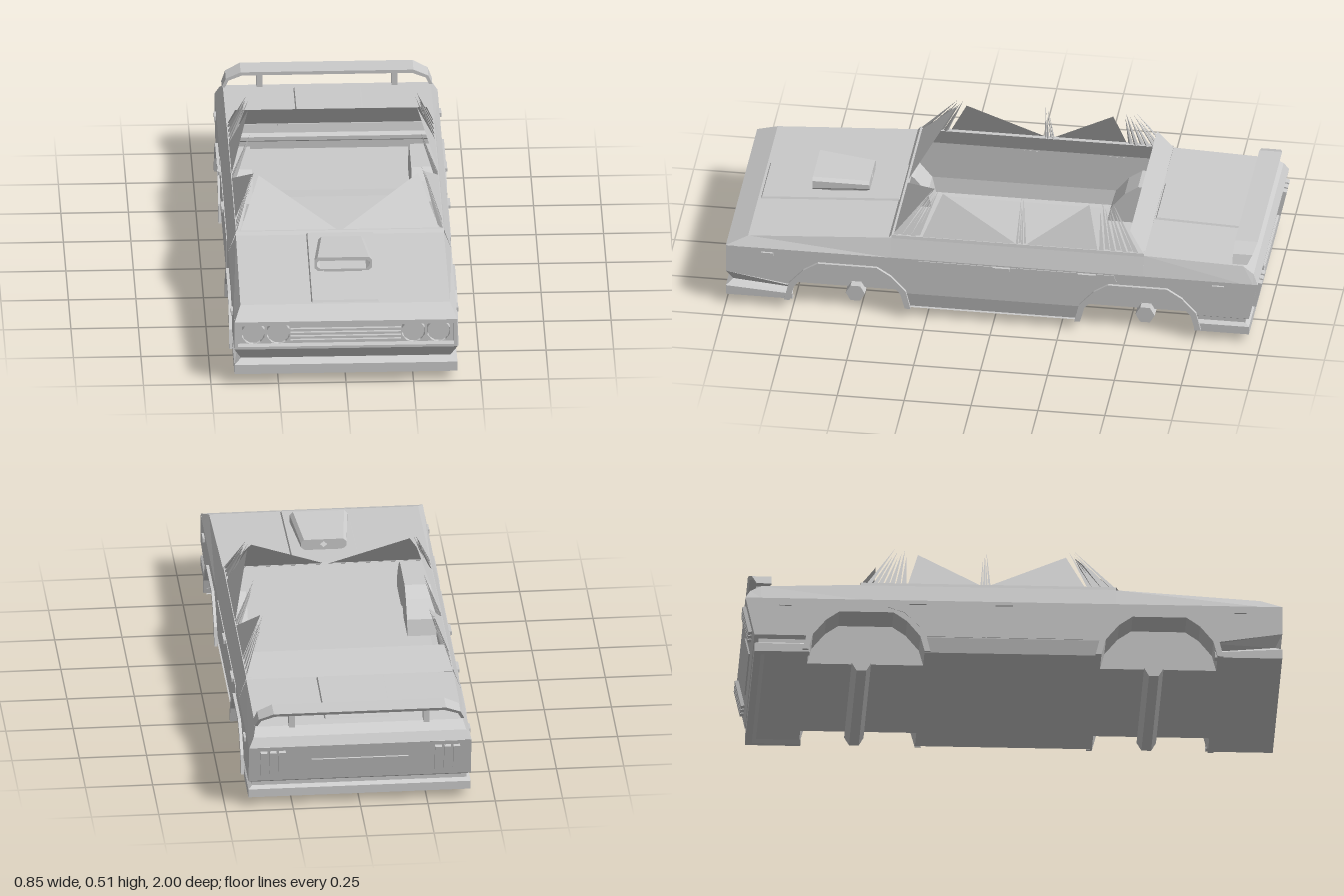
import * as THREE from 'three';
import { mergeGeometries } from 'three/addons/utils/BufferGeometryUtils.js';

const mat = new THREE.MeshStandardMaterial({ color: 0xcccccc, flatShading: true, side: THREE.DoubleSide });

export function createModel() {
  const car = new THREE.Group();

  const add = (name, geo, parent = car) => {
    const m = new THREE.Mesh(geo, mat);
    m.name = name;
    parent.add(m);
    return m;
  };
  const box = (name, x, y, z, w, h, d) => {
    const m = add(name, new THREE.BoxGeometry(w, h, d));
    m.position.set(x, y, z);
    return m;
  };
  // Sheet through rows of [x, y, z] points
  const loft = (rows, closed = false) => {
    const pos = [];
    for (let i = 0; i < rows.length - 1; i++) {
      const n = rows[i].length;
      for (let j = 0; j < (closed ? n : n - 1); j++) {
        const k = (j + 1) % n;
        const [a, b, c, d] = [rows[i][j], rows[i][k], rows[i + 1][k], rows[i + 1][j]];
        pos.push(...a, ...b, ...c, ...a, ...c, ...d);
      }
    }
    return triangles(pos);
  };
  const triangles = (pos) => {
    const g = new THREE.BufferGeometry();
    g.setAttribute('position', new THREE.Float32BufferAttribute(pos, 3));
    g.computeVertexNormals();
    return g;
  };
  const shapeOf = (pts) => new THREE.Shape(pts.map((p) => new THREE.Vector2(...p)));
  const extrude = (shape, depth) => new THREE.ExtrudeGeometry(shape, { depth, bevelEnabled: false });
  // Side outline of [z, y] points placed at x, optionally thickened outwards
  const sidePanel = (pts, x, thick = 0) => {
    const g = thick ? extrude(shapeOf(pts), thick) : new THREE.ShapeGeometry(shapeOf(pts));
    const p = g.attributes.position;
    for (let i = 0; i < p.count; i++) p.setXYZ(i, x + Math.sign(x) * p.getZ(i), p.getY(i), p.getX(i));
    g.computeVertexNormals();
    return g;
  };

  const W = 0.413, wells = [0.545, -0.54];
  const arch = [[0.215, 0.045], [0.199, 0.105], [0.15, 0.165], [0.1, 0.2], [-0.1, 0.2], [-0.15, 0.165], [-0.199, 0.105], [-0.215, 0.045]];
  const archAt = (c, grow = 0) => arch.map(([z, y]) => [c + z * (1 + grow), y > 0.05 ? y + grow * 0.12 : y]);

  // Hood and trunk, each with sloping shoulders: [z, half width, height]
  const deck = (stations) => loft(stations.map(([z, x, y]) => [[-W, 0.255, z], [-x, y, z], [x, y, z], [W, 0.255, z]].map(
    (p) => [p[0], p[1], p[2]])));
  add('hood', deck([[1, 0.412, 0.256], [0.92, 0.388, 0.29], [0.385, 0.385, 0.325]]));
  add('trunk', deck([[-0.56, 0.385, 0.328], [-0.93, 0.385, 0.315], [-0.97, 0.395, 0.29], [-0.988, 0.412, 0.256]]));
  add('cowl', loft([[[-0.385, 0.325, 0.395], [0.385, 0.325, 0.395]], [[-0.385, 0.337, 0.385], [0.385, 0.337, 0.385]], [[-0.37, 0.337, 0.37], [0.37, 0.337, 0.37]]]));

  // Raised centre panels
  const lid = (name, z0, y0, z1, y1) => add(name, loft([[0.125, 0], [0.121, 0.007], [-0.121, 0.007], [-0.125, 0]].map(
    ([x, h]) => [[x, y0, z0], [x, y0 + h, z0 - 0.004], [x, y1 + h, z1 + 0.004], [x, y1, z1]])));
  lid('hoodPanel', 0.91, 0.291, 0.39, 0.325);
  lid('trunkPanel', -0.565, 0.328, -0.89, 0.316);

  // Sides, doors, wheel wells
  for (const s of [1, -1]) {
    const side = new THREE.Group();
    side.name = s > 0 ? 'leftSide' : 'rightSide';
    car.add(side);
    add('sideWall', sidePanel([[1, 0.145], [1, 0.255], [-0.988, 0.255], [-0.955, 0.105],
      ...archAt(wells[1]).slice(1, 7).reverse(), ...archAt(wells[0]).slice(1, 7).reverse()], s * W), side);
    add('shoulder', loft([0.385, -0.56].map((z) => [[s * W, 0.255, z], [s * 0.388, 0.325, z], [s * 0.385, 0.337, z], [s * 0.365, 0.337, z]])), side);
    add('sill', loft([[0.346, 0.33], [-0.341, -0.325]].map(([a, b]) => [[s * W, 0.105, a], [s * 0.402, 0.047, b], [s * 0.38, 0.045, b]])), side);
    add('frontDoor', sidePanel([[0.28, 0.25], [0.265, 0.108], [-0.093, 0.108], [-0.093, 0.25]], s * W, 0.003), side);
    add('rearDoor', sidePanel([[-0.099, 0.25], [-0.099, 0.108], [-0.325, 0.108], [-0.345, 0.15], [-0.4, 0.205], [-0.46, 0.225], [-0.45, 0.25]], s * W, 0.003), side);
    for (const c of wells) {
      const a = archAt(c);
      add('wheelWell', loft([0.424, 0.295].map((x) => a.map(([z, y]) => [s * x, y, z]))), side);
      add('wheelWellInner', sidePanel(a, s * 0.295), side);
      add('archFlare', sidePanel([...a, ...archAt(c, 0.1).reverse()], s * W, 0.011), side);
    }
    for (const z of [-0.03, -0.35]) box('doorHandle', s * 0.418, 0.243, z, 0.012, 0.014, 0.065);
    for (const z of [0.845, -0.84]) box('sideMarker', s * 0.415, 0.232, z, 0.012, 0.016, 0.045);
  }

  // Floor with notches for the wheel wells
  const half = [[0.41, 0.98], ...wells.flatMap((c) => [[0.41, c + 0.215], [0.295, c + 0.215], [0.295, c - 0.215], [0.41, c - 0.215]]), [0.41, -0.945]];
  const floor = new THREE.ShapeGeometry(shapeOf([...half, ...half.map(([x, z]) => [-x, z]).reverse()]));
  floor.rotateX(Math.PI / 2).translate(0, 0.045, 0);
  add('floor', floor);

  // Bumpers wrap round the ends with a recessed band: rows of [inset, end y, arch y]
  const bumper = (name, end, archZ, rows) => add(name, loft(rows.map(([inset, ye, ya, shift = 0]) => {
    const x = W - inset, z = end - Math.sign(end) * (inset + shift);
    return [[-x, ya, archZ], [-x, ye, z], [x, ye, z], [x, ya, archZ]];
  })));
  bumper('frontBumper', 1, 0.75, [[0, 0.145, 0.1], [0.025, 0.1, 0.08], [0, 0.082, 0.066], [0, 0.045, 0.045], [0.03, 0.042, 0.045]]);
  bumper('rearBumper', -0.955, -0.75, [[0, 0.105, 0.105], [0.015, 0.095, 0.095], [0.015, 0.08, 0.08], [0, 0.07, 0.07], [0, 0.038, 0.038], [0.025, 0.035, 0.035], [0.04, 0.045, 0.045]]);

  // Front face with a recessed grille and paired lamps
  const frame = shapeOf([[-W, 0.145], [W, 0.145], [W, 0.256], [-W, 0.256]]);
  frame.holes.push(new THREE.Path([[-0.4, 0.155], [-0.4, 0.24], [0.4, 0.24], [0.4, 0.155]].map((p) => new THREE.Vector2(...p))));
  add('grilleFrame', extrude(frame, 0.03)).position.z = 0.97;
  box('grilleBack', 0, 0.197, 0.965, 0.81, 0.1, 0.01);
  for (let i = 0; i < 5; i++) box('grilleSlat', 0, 0.168 + i * 0.015, 0.975, 0.41, 0.007, 0.014);
  for (const x of [-0.343, -0.25, 0.25, 0.343]) {
    const ring = add('headlampRing', new THREE.CylinderGeometry(0.044, 0.044, 0.025, 10, 1, true));
    ring.rotation.x = Math.PI / 2;
    ring.position.set(x, 0.207, 0.982);
    const lens = add('headlampLens', new THREE.CircleGeometry(0.042, 10));
    lens.position.set(x, 0.207, 0.986);
  }

  // Rear face, plate and tail lamps share one slope
  const tilt = -Math.atan(0.033 / 0.15);
  add('rearPanel', loft([[[-W, 0.255, -0.988], [W, 0.255, -0.988]], [[-W, 0.105, -0.955], [W, 0.105, -0.955]]]));
  box('plate', 0, 0.165, -0.968, 0.36, 0.065, 0.012).rotation.x = tilt;
  for (const s of [1, -1]) for (let i = 0; i < 3; i++) box('tailLamp', s * (0.29 + i * 0.034), 0.187, -0.975, 0.025, 0.105, 0.024).rotation.x = tilt;

  // Hood scoop with a hollow mouth
  const ring = (x, y0, y1, z) => {
    const c = 0.012;
    return [[x - c, y0], [x, y0 + c], [x, y1 - c], [x - c, y1], [c - x, y1], [-x, y1 - c], [-x, y0 + c], [c - x, y0]].map(([a, b]) => [a, b, z]);
  };
  add('scoop', loft([ring(0.013, 0.345, 0.37, 0.65), ring(0.097, 0.337, 0.376, 0.65), ring(0.097, 0.337, 0.376, 0.72),
    ring(0.107, 0.33, 0.384, 0.72), ring(0.085, 0.33, 0.37, 0.51), ring(0.013, 0.338, 0.362, 0.51)], true));
  box('scoopNeck', 0, 0.318, 0.605, 0.14, 0.03, 0.17);

  // Rear spoiler: arched blade on two posts
  const blade = extrude(shapeOf([[-0.39, 0.325], [-0.375, 0.36], [-0.32, 0.385], [0.32, 0.385], [0.375, 0.36], [0.39, 0.325],
    [0.378, 0.325], [0.365, 0.352], [0.315, 0.372], [-0.315, 0.372], [-0.365, 0.352], [-0.378, 0.325]]), 0.085);
  blade.translate(0, 0, -0.975);
  const bp = blade.attributes.position;
  for (let i = 0; i < bp.count; i++) if (bp.getZ(i) < -0.93) bp.setZ(i, -0.975 + (0.385 - bp.getY(i)) * 0.5);
  add('spoilerBlade', blade);
  for (const x of [-0.25, 0.25]) box('spoilerPost', x, 0.345, -0.925, 0.022, 0.065, 0.035);

  // Broken glass left in the windows
  const glass = (name, ...pts) => add(name, triangles(pts.flat()));
  for (const s of [1, -1]) {
    glass('windshieldShard', [s * 0.37, 0.33, 0.383], [0, 0.33, 0.383], [s * 0.295, 0.495, 0.235]);
    glass('frontSideShard', [s * 0.383, 0.335, 0.27], [s * 0.383, 0.335, -0.083], [s * 0.313, 0.488, 0.203]);
    glass('rearSideShard', [s * 0.383, 0.335, -0.115], [s * 0.383, 0.335, -0.385], [s * 0.313, 0.488, -0.345]);
  }
  add('rearWindowStrip', loft([[[-0.383, 0.33, -0.56], [0.383, 0.33, -0.56]], [[-0.355, 0.414, -0.503], [0.355, 0.414, -0.503]]]));

  // Torn roof pillars as fans of thin spikes: [name, base z from, to, tip z from, to, count]
  const pillars = [['frontPillar', 0.375, 0.29, 0.235, 0.215, 6], ['middlePillar', -0.083, -0.113, -0.092, -0.102, 4], ['rearPillar', -0.53, -0.4, -0.43, -0.385, 7]];
  for (const [name, b0, b1, t0, t1, n] of pillars) for (const s of [1, -1]) {
    const spikes = [];
    for (let i = 0; i < n; i++) {
      const t = i / (n - 1), h = 1 - 0.3 * ((i * 3) % 5) / 5;
      const zb = b0 + (b1 - b0) * t, zt = zb + (t0 + (t1 - t0) * t - zb) * h;
      const xb = 0.383 - 0.006 * (i % 2), tip = [s * (xb - 0.068 * h), 0.335 + 0.175 * h, zt];
      const w = name === 'middlePillar' ? 0.004 : 0.009;
      const base = [[s * xb, 0.333, zb - w], [s * xb, 0.333, zb + w], [s * (xb - 0.012), 0.333, zb]];
      spikes.push(triangles([0, 1, 2].flatMap((k) => [...base[k], ...base[(k + 1) % 3], ...tip])));
    }
    add(name, mergeGeometries(spikes));
  }

  // Axles
  for (const z of [0.528, -0.555]) {
    const axle = add('axle', new THREE.CylinderGeometry(0.036, 0.036, 0.656, 6));
    axle.rotation.set(0, 0, Math.PI / 2);
    axle.position.set(0, 0.036, z);
  }
  return car;
}
